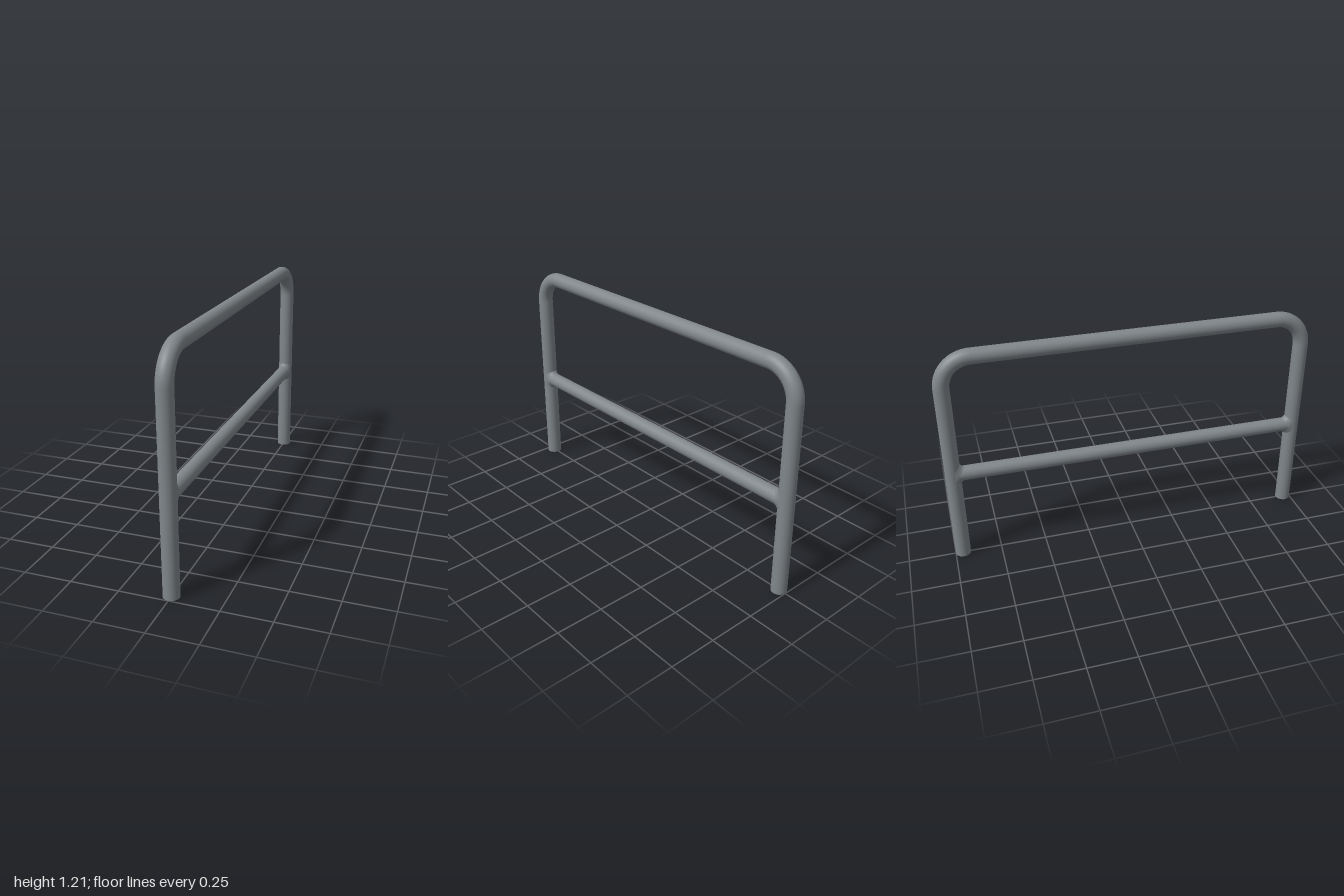
import * as THREE from 'three';
import { mergeVertices } from 'three/addons/utils/BufferGeometryUtils.js';

const R = 0.041;        // main tube radius
const RAIL_R = 0.039;   // cross rail radius
const POST_Z = 1 - R;   // post centre line
const TOP_Y = 1.21 - R; // top rail centre line
const BEND = 0.155;     // bend radius of the centre line
const RAIL_Y = 0.513;
const SIDES = 32;

// Flared weld whose ends follow the round face of the post
function weldGeometry() {
  const profile = [[RAIL_R, -0.02], [0.041, -0.013], [0.046, -0.006], [0.053, -0.001], [0.057, 0.006]]
    .map(([r, d]) => new THREE.Vector2(r, d));
  let geo = new THREE.LatheGeometry(profile, SIDES).rotateX(Math.PI / 2);
  const p = geo.attributes.position;
  for (let i = 0; i < p.count; i++) {
    const x = THREE.MathUtils.clamp(p.getX(i), -0.04, 0.04);
    p.setX(i, x);
    p.setZ(i, p.getZ(i) + POST_Z - Math.sqrt(R * R - x * x));
  }
  geo.deleteAttribute('uv');
  geo.deleteAttribute('normal');
  geo = mergeVertices(geo, 1e-5);
  geo.computeVertexNormals();
  return geo;
}

export function createModel() {
  const group = new THREE.Group();
  const steel = new THREE.MeshStandardMaterial({ color: 0x80868a });
  steel.name = 'grey steel';

  const add = (name, geo, parent = group) => {
    const mesh = new THREE.Mesh(geo, steel);
    mesh.name = name;
    parent.add(mesh);
    return mesh;
  };

  // Horizontal tubes along z
  const topLength = 2 * (POST_Z - BEND);
  add('topRail', new THREE.CylinderGeometry(R, R, topLength, SIDES, 1, true).rotateX(Math.PI / 2))
    .position.y = TOP_Y;
  add('crossRail', new THREE.CylinderGeometry(RAIL_R, RAIL_R, 2 * POST_Z, SIDES, 1, true).rotateX(Math.PI / 2))
    .position.y = RAIL_Y;

  // Each end: post, quarter bend and weld; the back end is the front one turned round
  const postHeight = TOP_Y - BEND;
  const postGeo = new THREE.CylinderGeometry(R, R, postHeight, SIDES);
  const bendGeo = new THREE.TorusGeometry(BEND, R, SIDES, 20, Math.PI / 2).rotateY(-Math.PI / 2);
  const weldGeo = weldGeometry();
  for (const side of ['front', 'back']) {
    const end = new THREE.Group();
    end.name = side + 'End';
    if (side === 'back') end.rotation.y = Math.PI;
    add(side + 'Post', postGeo, end).position.set(0, postHeight / 2, POST_Z);
    add(side + 'Bend', bendGeo, end).position.set(0, postHeight, POST_Z - BEND);
    add(side + 'Weld', weldGeo, end).position.y = RAIL_Y;
    group.add(end);
  }
  return group;
}
